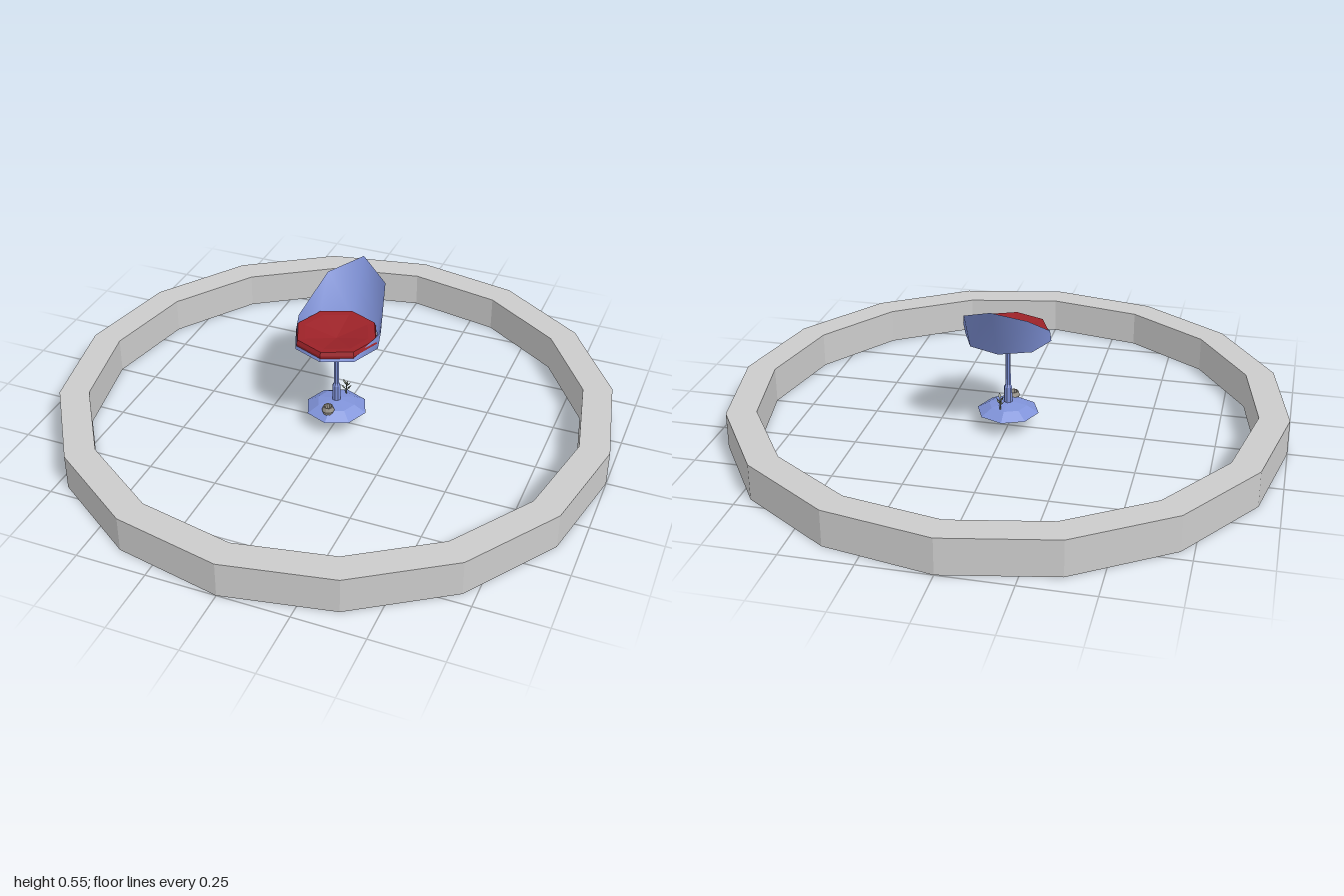
import * as THREE from 'three';

const mat = (color, smooth = false) =>
  new THREE.MeshStandardMaterial({ color, flatShading: !smooth, side: THREE.DoubleSide });
const grey = mat(0xcccccc), blue = mat(0x7f92d8), blueSmooth = mat(0x7f92d8, true);
const red = mat(0x9c2228), leafGrey = mat(0x6c7466), stone = mat(0x9a958c);

function add(parent, name, geometry, material, x = 0, y = 0, z = 0) {
  const mesh = new THREE.Mesh(geometry, material);
  mesh.name = name;
  mesh.position.set(x, y, z);
  parent.add(mesh);
  return mesh;
}

const lathe = (points, sides) =>
  new THREE.LatheGeometry(points.map(([r, y]) => new THREE.Vector2(r, y)), sides);

// Sheared bucket: octagonal foot swept back to a rim that rises behind the sitter
function shellGeometry() {
  const foot = [], rim = [];
  const rimHeight = [0.36, 0.365, 0.4, 0.5, 0.55];
  for (let i = 0; i <= 8; i++) {
    const a = (i / 8) * Math.PI * 2, y = rimHeight[i <= 4 ? i : 8 - i];
    const x = 0.156 * Math.sin(a), z = 0.155 * Math.cos(a);
    foot.push(x, 0.35, z);
    rim.push(x, y, z - (y - 0.35) * 0.55);
  }
  const index = [];
  for (let i = 0; i < 8; i++) index.push(i, i + 1, i + 10, i, i + 10, i + 9);
  const g = new THREE.BufferGeometry();
  g.setAttribute('position', new THREE.Float32BufferAttribute([...foot, ...rim], 3));
  g.setIndex(index);
  g.computeVertexNormals();
  return g;
}

// Small pointed leaf, lying along +y
function leafGeometry(length) {
  const s = new THREE.Shape();
  s.moveTo(0, 0);
  s.lineTo(0.005, length * 0.5);
  s.lineTo(0, length);
  s.lineTo(-0.005, length * 0.5);
  return new THREE.ShapeGeometry(s);
}

export function createModel() {
  const model = new THREE.Group();
  model.name = 'ringedChair';

  // Surrounding ring
  add(model, 'ring', lathe([[1, 0], [1, 0.13], [0.893, 0.13], [0.893, 0], [1, 0]], 16), grey);

  // Foot and post
  add(model, 'base', lathe([[0.113, 0.062], [0.07, 0.087], [0, 0.1]], 8), blue);
  add(model, 'baseUnderside', lathe([[0, 0.085], [0.113, 0.062]], 8), blue);
  add(model, 'post', lathe([[0.016, 0.09], [0.015, 0.155], [0.01, 0.165], [0.009, 0.35]], 8), blue);

  // Bucket seat
  const seat = new THREE.Group();
  seat.name = 'seat';
  model.add(seat);
  add(seat, 'shell', shellGeometry(), blueSmooth);
  add(seat, 'shellFloor', lathe([[0, 0.35], [0.155, 0.35]], 8), blue);
  add(seat, 'cushion',
    lathe([[0.148, 0.352], [0.152, 0.37], [0.147, 0.385], [0.12, 0.383], [0, 0.357]], 8), red);

  // Little pot on the foot
  const pot = new THREE.Group();
  pot.name = 'pot';
  pot.position.set(-0.005, 0.076, 0.068);
  model.add(pot);
  add(pot, 'potBody', lathe([[0, 0], [0.018, 0], [0.023, 0.014], [0.018, 0.03], [0.014, 0.03], [0.012, 0.008], [0, 0.006]], 10), stone);

  // Little plant on the foot
  const plant = new THREE.Group();
  plant.name = 'plant';
  plant.position.set(0.017, 0.09, -0.055);
  model.add(plant);
  add(plant, 'stem', new THREE.CylinderGeometry(0.002, 0.003, 0.04, 5), leafGrey, 0, 0.018, 0);
  for (let i = 0; i < 9; i++) {
    const leaf = add(plant, 'leaf', leafGeometry(0.028), leafGrey, 0, 0.008 + 0.0035 * i, 0);
    leaf.rotation.set(0.9 - 0.03 * i, i * 2.4, 0, 'YXZ');
  }
  return model;
}
